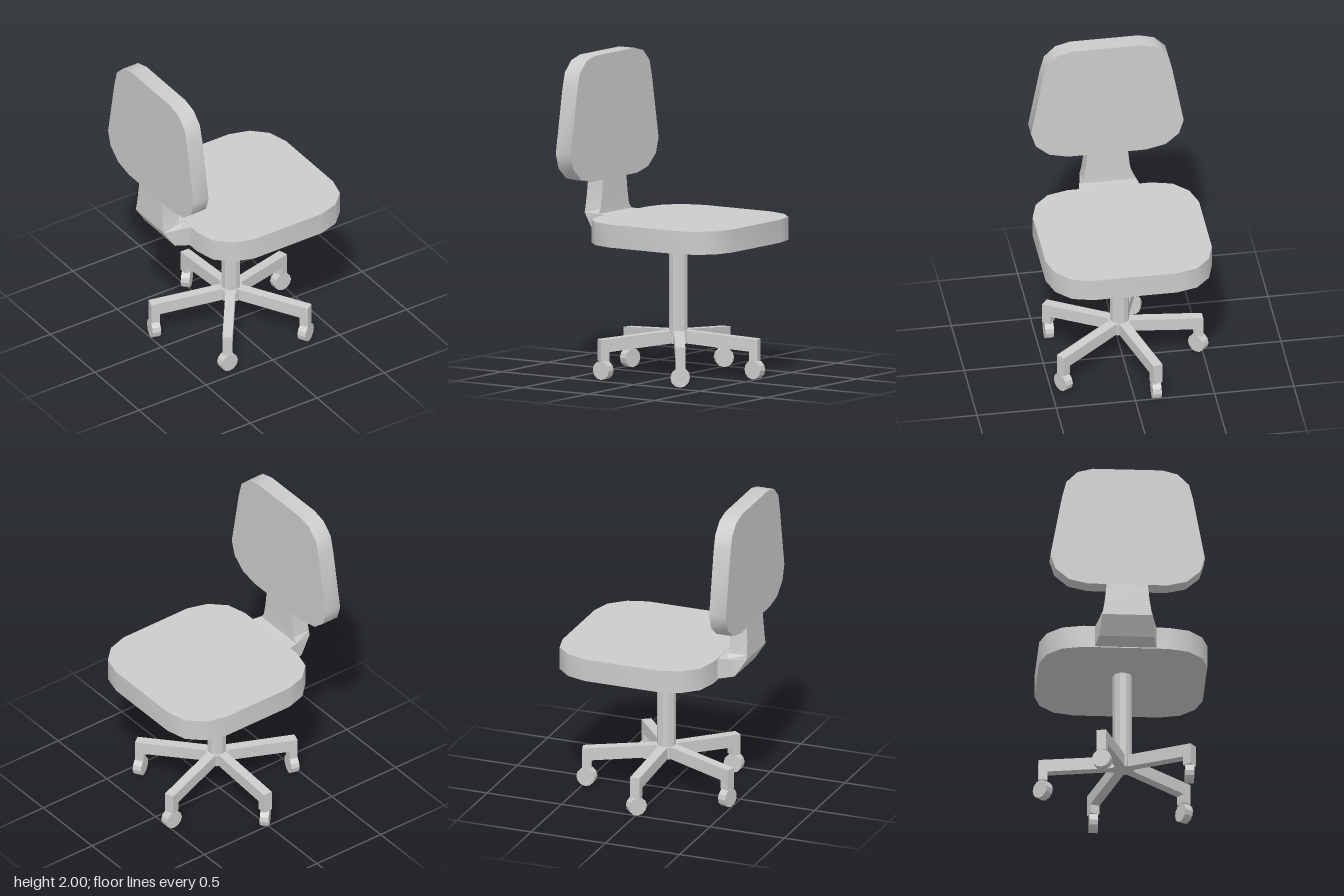
import * as THREE from 'three';
import { toCreasedNormals } from 'three/addons/utils/BufferGeometryUtils.js';

const smooth = new THREE.MeshStandardMaterial({ color: 0xcccccc });
const faceted = new THREE.MeshStandardMaterial({ color: 0xcccccc, flatShading: true });

function part(name, geometry, material, parent) {
  const mesh = new THREE.Mesh(geometry, material);
  mesh.name = name;
  parent.add(mesh);
  return mesh;
}

function extrude(points, depth) {
  const shape = new THREE.Shape(points.map(([x, y]) => new THREE.Vector2(x, y)));
  return new THREE.ExtrudeGeometry(shape, { depth, bevelEnabled: false });
}

// Mirrors a half outline, listed top to bottom on the +x side
const mirrored = (half) => [...half, ...half.map(([x, y]) => [-x, y]).reverse()];

function createSeat(parent) {
  const half = [
    [0.25, 0.525], [0.38, 0.485], [0.473, 0.395], [0.507, 0.265],
    [0.507, -0.265], [0.473, -0.395], [0.38, -0.485], [0.25, -0.525],
  ];
  const geometry = extrude(mirrored(half), 0.145).rotateX(-Math.PI / 2);
  part('seat', toCreasedNormals(geometry, 0.7), smooth, parent).position.set(0.088, 0.855, 0.016);
}

function createBackrest(parent) {
  const half = [
    [0.217, 2], [0.312, 1.975], [0.383, 1.905], [0.41, 1.8],
    [0.482, 1.405], [0.452, 1.31], [0.368, 1.238], [0.247, 1.21],
  ];
  const geometry = extrude(mirrored(half), 0.113).rotateY(-Math.PI / 2);
  part('backrest', toCreasedNormals(geometry, 0.7), smooth, parent).position.set(-0.48, 0, 0.018);
}

// Bent bracket: a box whose rows follow sections from backrest to seat
function createBracket(parent) {
  // inner x, y, half width; outer x, y, half width
  const rows = [
    [-0.482, 1.23, 0.127, -0.592, 1.23, 0.127],
    [-0.48, 1.12, 0.138, -0.597, 1.11, 0.138],
    [-0.48, 1.03, 0.155, -0.599, 1.03, 0.15],
    [-0.478, 0.999, 0.18, -0.6, 1.0, 0.158],
    [-0.46, 0.998, 0.185, -0.525, 0.885, 0.172],
    [-0.4, 0.997, 0.195, -0.4, 0.857, 0.195],
  ];
  const n = rows.length - 1;
  const geometry = new THREE.BoxGeometry(1, 1, 1, 1, n, 1);
  const p = geometry.attributes.position;
  for (let i = 0; i < p.count; i++) {
    const row = rows[Math.round((0.5 - p.getY(i)) * n)];
    const [x, y, w] = p.getX(i) > 0 ? row.slice(0, 3) : row.slice(3);
    p.setXYZ(i, x, y, Math.sign(p.getZ(i)) * w);
  }
  part('backBracket', toCreasedNormals(geometry, 0.4), smooth, parent).position.z = 0.016;
}

function createBase(parent) {
  const base = new THREE.Group();
  base.name = 'base';
  base.position.set(0.005, 0, 0.02);
  parent.add(base);

  part('column', new THREE.CylinderGeometry(0.06, 0.06, 0.59, 10), faceted, base).position.y = 0.565;
  const hub = part('hub', new THREE.CylinderGeometry(0.075, 0.075, 0.08, 5), faceted, base);
  hub.position.y = 0.25;

  // Arm side profile: radius, height
  const profile = [
    [0, 0.21], [0.06, 0.21], [0.468, 0.175], [0.468, 0.118],
    [0.524, 0.118], [0.524, 0.253], [0.06, 0.29], [0, 0.29],
  ];
  const armGeometry = extrude(profile, 0.062).translate(0, 0, -0.031);
  const wheelGeometry = new THREE.CylinderGeometry(0.06, 0.06, 0.055, 12).rotateX(Math.PI / 2);

  // Five arms, each caster swivelled its own way
  [45, 74, 0, 30, 0].forEach((swivel, i) => {
    const angle = Math.PI / 2 + (i * 2 * Math.PI) / 5;
    part('arm', armGeometry, faceted, base).rotation.y = angle;
    const wheel = part('casterWheel', wheelGeometry, faceted, base);
    wheel.position.set(0.497 * Math.cos(angle), 0.06, -0.497 * Math.sin(angle));
    wheel.rotation.y = THREE.MathUtils.degToRad(swivel);
  });
}

export function createModel() {
  const chair = new THREE.Group();
  chair.name = 'officeChair';
  createSeat(chair);
  createBackrest(chair);
  createBracket(chair);
  createBase(chair);
  return chair;
}
